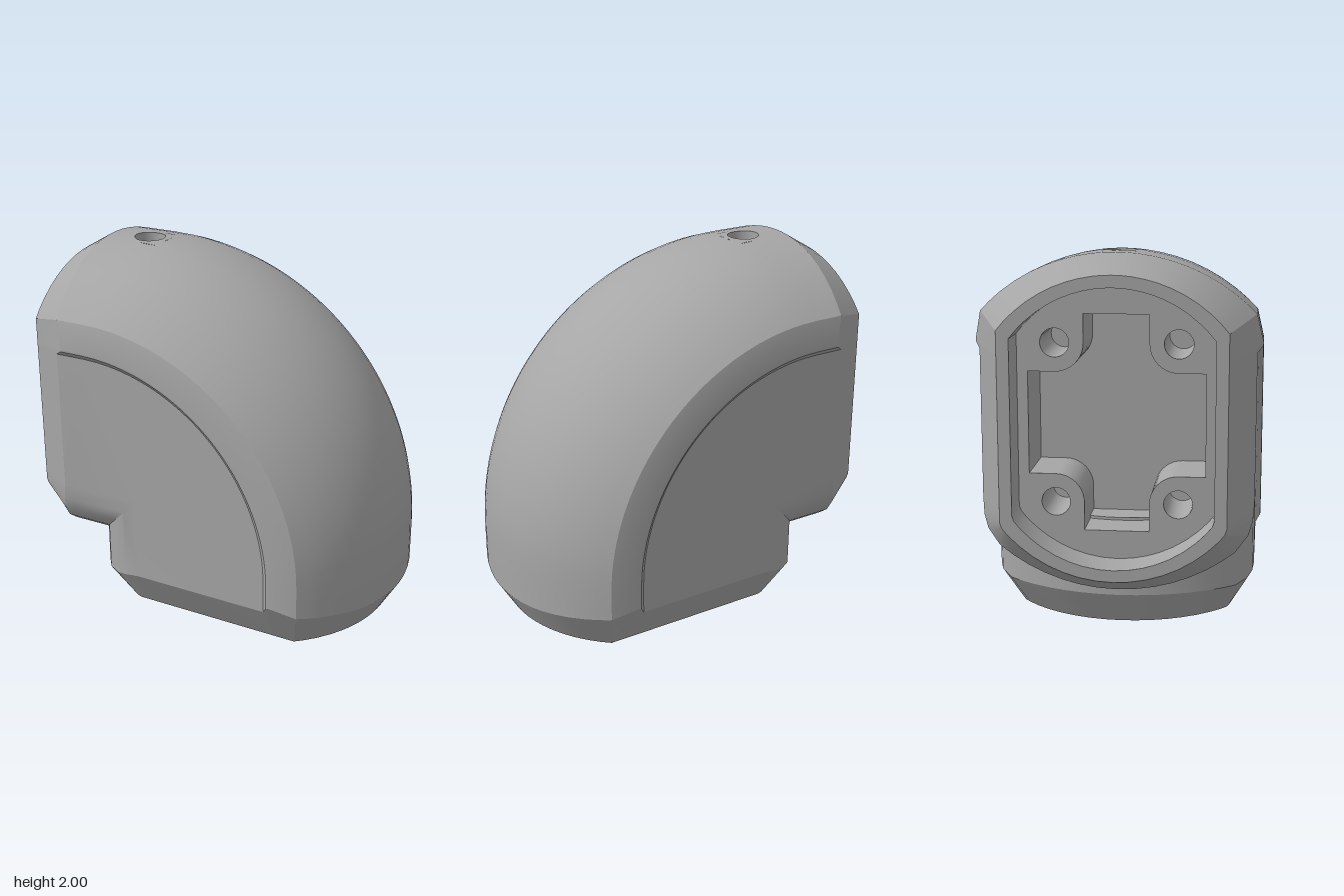
import * as THREE from 'three';
import { toCreasedNormals } from 'three/addons/utils/BufferGeometryUtils.js';

const grey = new THREE.MeshStandardMaterial({ color: 0xa6a6a6 });
grey.name = 'plain grey';

// The bend turns about (CX, CY); u is the distance from that axis, MID the section centre.
const CX = -0.6, CY = 0.4, MID = 0.715, HOLE = 0.12;
const V = (x, y, z) => new THREE.Vector3(x, y, z);
const outerU = z => 0.632 + Math.sqrt(0.937 - z * z);

// Skin between closed rings of equal length; skip(j, i) leaves cells open.
function loft(rings, crease = 0.4, skip = () => false) {
  const pos = [];
  const tri = (a, b, c) => {
    const area = b.clone().sub(a).cross(c.clone().sub(a)).length();
    if (area > 1e-9) for (const p of [a, b, c]) pos.push(p.x, p.y, p.z);
  };
  for (let j = 0; j < rings.length - 1; j++) {
    const A = rings[j], B = rings[j + 1], n = A.length;
    for (let i = 0; i < n; i++) {
      if (skip(j, i)) continue;
      const k = (i + 1) % n;
      tri(A[i], A[k], B[i]);
      tri(A[k], B[k], B[i]);
    }
  }
  const g = new THREE.BufferGeometry();
  g.setAttribute('position', new THREE.Float32BufferAttribute(pos, 3));
  return toCreasedNormals(g, crease);
}

function mesh(name, geometry) {
  const m = new THREE.Mesh(geometry, grey);
  m.name = name;
  return m;
}

// Section outline: body point (u, z), matching end-face point (eu, ez), chamfer length w.
function sectionOutline() {
  const half = [];
  const add = (u, z, eu, ez, w) => half.push({ u, z, eu, ez, w });
  for (const z of [0, 0.06, 0.12, 0.2, 0.28, 0.36, 0.44, 0.52, 0.6, 0.66, 0.71]) {
    const ez = z * 0.58 / 0.71;
    add(outerU(z), z, 0.76 + Math.sqrt(0.5476 - ez * ez), ez, 0.17 + 0.07 * (z / 0.71) ** 2);
  }
  // raised ridge, then the flat side panel and the rounding into the inner curve
  add(1.14, 0.745, 1.1, 0.58, 0.28);
  add(1.125, 0.743, 1.08, 0.58, 0.275);
  add(1.095, 0.715, 1.05, 0.58, 0.23);
  add(0.3, 0.715, 0.3, 0.58, 0.23);
  add(0.21, 0.707, 0.23, 0.58, 0.215);
  add(0.14, 0.685, 0.2, 0.57, 0.2);
  for (const z of [0.62, 0.55, 0.47, 0.38, 0.29, 0.2, 0.1, 0]) {
    const ez = z * 0.54 / 0.62;
    add(0.798 - Math.sqrt(0.937 - z * z), z, 0.67 - Math.sqrt(0.5476 - ez * ez), ez, 0.18);
  }
  const other = half.slice(1, -1).reverse().map(p => ({ ...p, z: -p.z, ez: -p.ez }));
  return [...half, ...other];
}

// Two straight legs, swept outer bend, sharp mitre on the inside.
function elbowShell(outline) {
  const inner = p => p.u < 0.31;
  const left = [
    p => V(-1, CY + p.eu, p.ez),
    p => V(-1 + p.w, CY + p.u, p.z),
    p => V(inner(p) ? Math.min(-0.72, CX + p.u) : -0.72, CY + p.u, p.z),
  ];
  const t1 = Math.asin(HOLE / 1.6), steps = 44;
  const angles = [0, t1];
  for (let k = 1; k < steps; k++) angles.push(t1 + (Math.PI / 2 - 2 * t1) * k / steps);
  angles.push(Math.PI / 2 - t1, Math.PI / 2);
  const bend = angles.map(a => p => inner(p)
    ? V(CX + p.u, CY + p.u, p.z)
    : V(CX + p.u * Math.sin(a), CY + p.u * Math.cos(a), p.z));
  // the lower leg is the left leg mirrored over the mitre plane
  const lower = left.map(f => p => {
    const q = f(p);
    return V(q.y - 1, q.x + 1, q.z);
  }).reverse();
  const rings = [...left, ...bend, ...lower].map(f => outline.map(f));
  const n = outline.length;
  return loft(rings, 0.4, (j, i) => (j === 2 || j === 3) && (i < 2 || i >= n - 2));
}

// Counterbored screw hole in the top, joined to the square opening in the shell.
function topHole() {
  const surface = (x, z) => {
    const r = outerU(z), dx = Math.max(0, x - CX);
    return CY + Math.sqrt(r * r - dx * dx);
  };
  const ring = (radius, y) => Array.from({ length: 32 }, (_, k) => {
    const a = k / 32 * Math.PI * 2, c = Math.cos(a), s = -Math.sin(a);
    const r = radius ?? HOLE / Math.max(Math.abs(c), Math.abs(s));
    const x = CX + r * c, z = r * s;
    return V(x, y ?? surface(x, z), z);
  });
  return loft([ring(), ring(0.088), ring(0.088, 1.91), ring(0.052, 1.91),
    ring(0.052, 1.82), ring(0.035, 1.82), ring(0.035, 1.7), ring(0, 1.7)], 0.5);
}

// Socket in its own frame: X = u, Y = across, Z = depth into the leg.
function socket(outline) {
  const g = new THREE.Group();
  const scaled = (p, k) => [MID + (p.eu - MID) * (k ? 0.92 : 1), p.ez * (k ? 0.89 : 1)];
  const ring = (k, d) => outline.map(p => V(...scaled(p, k), d));
  g.add(mesh('socketRim', loft([ring(1, 0.2), ring(1, 0), ring(0, 0)], 0.5)));

  // ledge with a cross-shaped cavity whose corners are round screw bosses
  const shape = new THREE.Shape(outline.map(p => new THREE.Vector2(...scaled(p, 1))));
  const quarter = [[0.57, 0.17]];
  for (let k = 0; k <= 10; k++) {
    const a = k / 10 * Math.PI / 2;
    quarter.push([0.42 - 0.15 * Math.sin(a), 0.32 - 0.15 * Math.cos(a)]);
  }
  quarter.push([0.27, 0.46]);
  const cavity = [];
  for (const [su, sv] of [[1, 1], [-1, 1], [-1, -1], [1, -1]]) {
    const q = su * sv > 0 ? quarter : [...quarter].reverse();
    for (const [u, v] of q) cavity.push(new THREE.Vector2(MID + su * u, sv * v));
    const hole = new THREE.Path();
    hole.absarc(MID + su * 0.42, sv * 0.32, 0.075, 0, Math.PI * 2);
    shape.holes.push(hole);
  }
  shape.holes.push(new THREE.Path(cavity));
  const ledge = new THREE.ExtrudeGeometry(shape, { depth: 0.35, bevelEnabled: false, curveSegments: 20 });
  ledge.translate(0, 0, 0.2);
  g.add(mesh('bossLedge', toCreasedNormals(ledge, 0.5)));

  const plate = new THREE.Shape(outline.map(p => new THREE.Vector2(...scaled(p, 1))));
  const floor = new THREE.ExtrudeGeometry(plate, { depth: 0.01, bevelEnabled: false });
  floor.translate(0, 0, 0.55);
  g.add(mesh('cavityFloor', floor));
  return g;
}

export function createModel() {
  const model = new THREE.Group();
  model.name = 'elbowFitting';
  const outline = sectionOutline();
  model.add(mesh('elbowShell', elbowShell(outline)));
  model.add(mesh('topScrewHole', topHole()));

  const X = V(1, 0, 0), Y = V(0, 1, 0), Z = V(0, 0, 1);
  const side = socket(outline);
  side.name = 'sideSocket';
  side.quaternion.setFromRotationMatrix(new THREE.Matrix4().makeBasis(Y, Z, X));
  side.position.set(-1, CY, 0);
  const bottom = socket(outline);
  bottom.name = 'bottomSocket';
  bottom.quaternion.setFromRotationMatrix(new THREE.Matrix4().makeBasis(X, Z.clone().negate(), Y));
  bottom.position.set(CX, 0, 0);
  model.add(side, bottom);
  return model;
}
